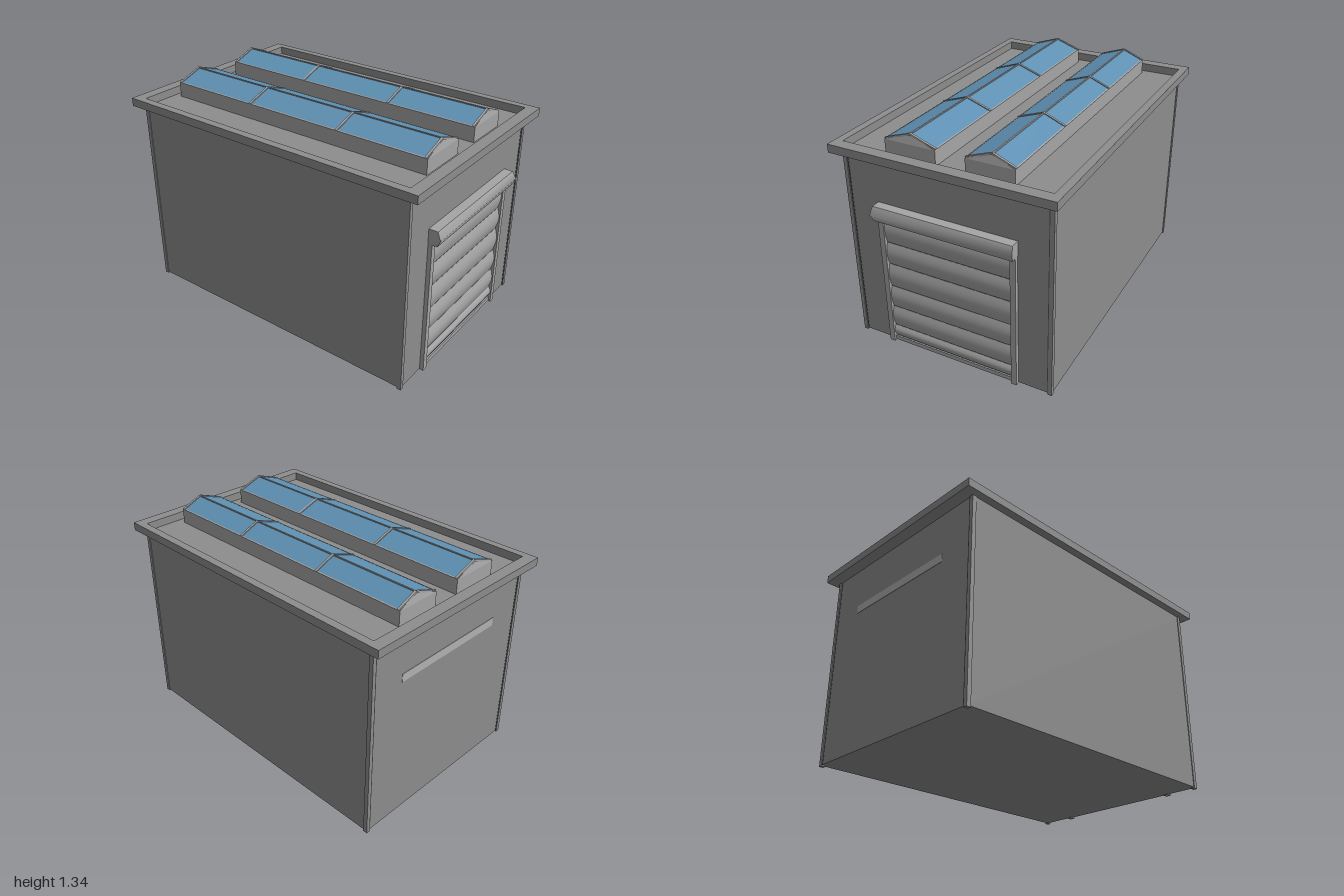
import * as THREE from 'three';
import { toCreasedNormals } from 'three/addons/utils/BufferGeometryUtils.js';

const paint = color => new THREE.MeshStandardMaterial({ color });
const wallGrey = paint(0x8d8d8d);
const metalGrey = paint(0xa5a5a5);
const stripGrey = paint(0xb2b2b2);
const gapGrey = paint(0x505050);
const blue = paint(0x5f91b4);

function add(parent, name, geometry, material) {
  const mesh = new THREE.Mesh(geometry, material);
  mesh.name = name;
  parent.add(mesh);
}

// Box given by its min and max on each axis
function box(x0, x1, y0, y1, z0, z1) {
  return new THREE.BoxGeometry(x1 - x0, y1 - y0, z1 - z0)
    .translate((x0 + x1) / 2, (y0 + y1) / 2, (z0 + z1) / 2);
}

// Prism with an (x, y) profile running along z
function prismZ(points, z0, z1) {
  const shape = new THREE.Shape(points.map(([x, y]) => new THREE.Vector2(x, y)));
  return new THREE.ExtrudeGeometry(shape, { depth: z1 - z0, bevelEnabled: false }).translate(0, 0, z0);
}

// Prism with a (z, y) profile running along x
function prismX(points, x0, x1) {
  return prismZ(points.map(([z, y]) => [-z, y]), x0, x1).rotateY(Math.PI / 2);
}

function rectangle(Type, x0, x1, y0, y1) {
  return new Type([[x0, y0], [x1, y0], [x1, y1], [x0, y1]].map(p => new THREE.Vector2(...p)));
}

// Curb, pitched top with slightly sloped ends, framed blue panes
function skylight(z0, z1, ridgeZ) {
  const group = new THREE.Group();
  group.name = 'skylight';
  const x0 = -0.885, x1 = 0.868, eave = 1.276, top = 1.329;
  add(group, 'skylightCurb', box(x0, x1, 1.18, eave, z0, z1), metalGrey);

  const pitched = prismX([[z0, eave], [z1, eave], [ridgeZ, top]], x0, x1);
  const p = pitched.attributes.position;
  for (let i = 0; i < p.count; i++) {
    if (p.getY(i) > eave + 0.01) p.setX(i, p.getX(i) - Math.sign(p.getX(i)) * 0.012);
  }
  pitched.computeVertexNormals();
  add(group, 'skylightPitch', pitched, metalGrey);

  const stops = [x0 + 0.012, -0.307, 0.307, x1 - 0.012];
  for (const edge of [z0, z1]) {
    const slope = new THREE.Group();
    slope.name = 'skylightSlope';
    const run = edge - ridgeZ, rise = top - eave, sign = Math.sign(run);
    const half = Math.hypot(run, rise) / 2;
    slope.position.set(0, (eave + top) / 2, (edge + ridgeZ) / 2);
    slope.rotation.x = Math.atan2(rise, Math.abs(run)) * sign;
    for (let i = 0; i < 3; i++) {
      add(slope, 'pane', box(stops[i], stops[i + 1], -0.002, 0.002, -half + 0.005, half - 0.005), blue);
    }
    for (const x of stops) {
      add(slope, 'glazingBar', box(x - 0.007, x + 0.007, -0.004, 0.007, -half, half), metalGrey);
    }
    const side = sign * (half - 0.004);
    add(slope, 'eaveBar', box(stops[0], stops[3], -0.004, 0.003, side - 0.004, side + 0.004), metalGrey);
    group.add(slope);
  }
  add(group, 'ridgeBar', box(stops[0], stops[3], top - 0.004, top + 0.005, ridgeZ - 0.004, ridgeZ + 0.004), metalGrey);
  return group;
}

export function createModel() {
  const model = new THREE.Group();
  model.name = 'garage';

  // Walls, whose top forms the sunken roof deck, and corner posts with shadow gaps
  add(model, 'walls', box(-0.931, 0.921, 0.008, 1.188, -0.617, 0.617), wallGrey);
  for (const s of [-1, 1]) {
    for (const x of [-0.923, 0.914]) {
      add(model, 'cornerPost', box(x - 0.013, x + 0.013, 0, 1.187, s * 0.609 - 0.012, s * 0.609 + 0.012), wallGrey);
      add(model, 'postGap', box(x - 0.009, x + 0.009, 0.008, 1.187, s * 0.594 - 0.003, s * 0.594 + 0.003), gapGrey);
    }
  }

  // Raised roof rim
  const rim = rectangle(THREE.Shape, -1, 0.99, -0.662, 0.662);
  rim.holes.push(rectangle(THREE.Path, -0.93, 0.92, -0.615, 0.615));
  add(model, 'roofRim', new THREE.ExtrudeGeometry(rim, { depth: 0.049, bevelEnabled: false })
    .rotateX(-Math.PI / 2).translate(0, 1.187, 0), wallGrey);

  model.add(skylight(0.074, 0.382, 0.226));
  model.add(skylight(-0.382, -0.1, -0.253));

  // Roller door: softly bowed slats with dark seams, bottom bar, side rails
  const door = new THREE.Group();
  door.name = 'rollerDoor';
  const seams = [0.04, 0.115, 0.25, 0.39, 0.54, 0.68, 0.83];
  for (let i = 0; i < seams.length - 1; i++) {
    const low = seams[i] + 0.003, high = seams[i + 1] - 0.003;
    const points = [[0.91, low]];
    for (let k = 0; k <= 8; k++) {
      const t = k / 8;
      points.push([0.924 + 0.014 * Math.sin(Math.PI * t), THREE.MathUtils.lerp(low, high, t)]);
    }
    points.push([0.91, high]);
    add(door, 'slat', toCreasedNormals(prismZ(points, -0.387, 0.387), 0.6), metalGrey);
    add(door, 'seam', box(0.91, 0.923, seams[i] - 0.003, seams[i] + 0.003, -0.387, 0.387), gapGrey);
  }
  add(door, 'bottomBar', box(0.91, 0.932, 0.01, 0.037, -0.387, 0.387), metalGrey);
  for (const s of [-1, 1]) {
    add(door, 'rail', box(0.91, 0.945, 0.004, 0.84, s * 0.4015 - 0.0165, s * 0.4015 + 0.0165), metalGrey);
  }

  // Shutter housing with a pointed front and slightly bulging ends
  const housing = prismZ([[0.91, 0.83], [0.975, 0.83], [0.997, 0.875], [0.975, 0.92], [0.91, 0.92]], -0.42, 0.42);
  const p = housing.attributes.position;
  for (let i = 0; i < p.count; i++) {
    if (p.getX(i) > 0.99) p.setZ(i, p.getZ(i) * 1.018);
  }
  add(door, 'shutterHousing', toCreasedNormals(housing, 1), metalGrey);
  model.add(door);

  // Slim light strip on the far end wall
  add(model, 'endWallStrip', box(-0.933, -0.92, 0.887, 0.937, -0.39, 0.385), stripGrey);

  return model;
}
